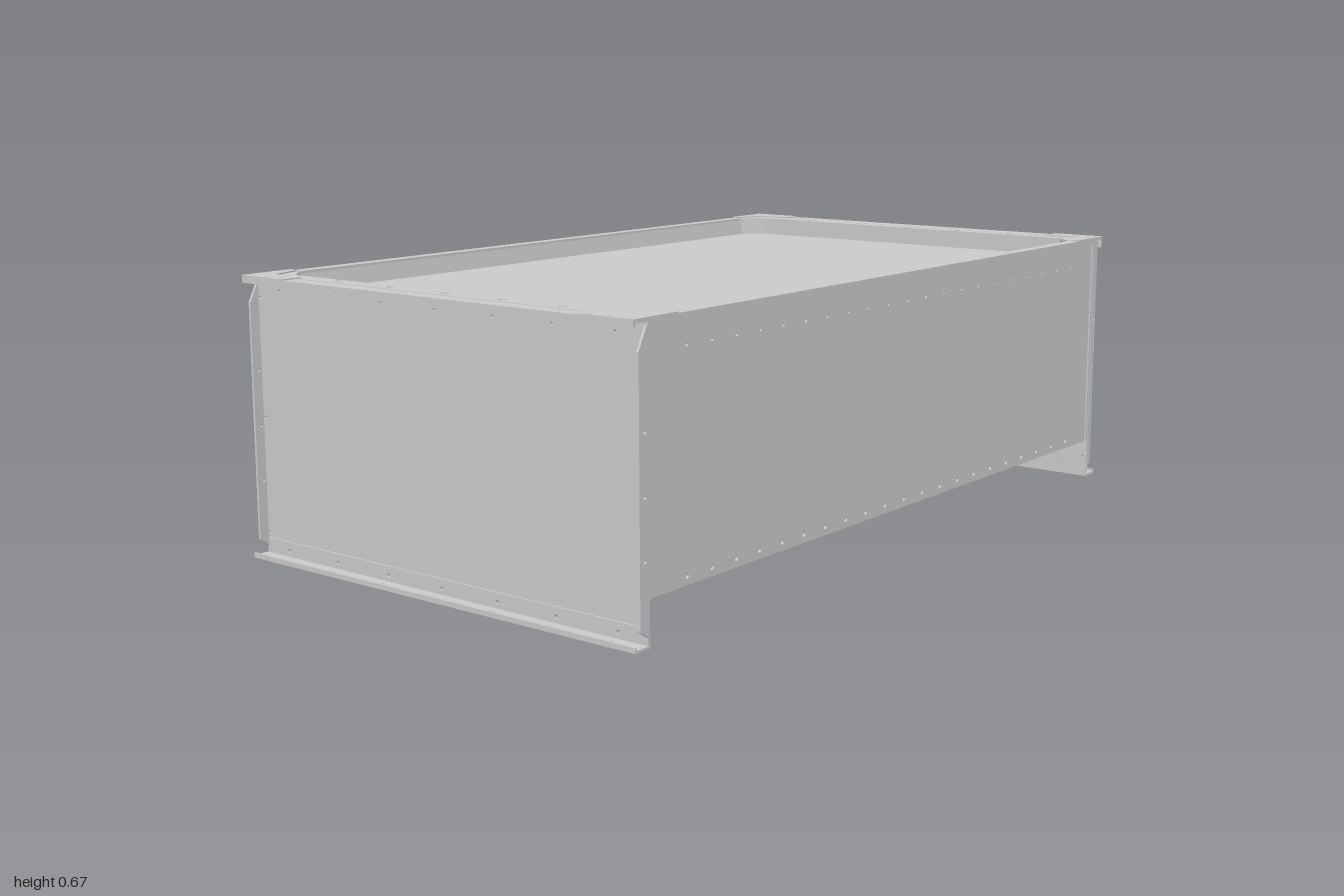
import * as THREE from 'three';

const T = 0.006; // sheet thickness
const material = new THREE.MeshStandardMaterial({ color: 0xcccccc, flatShading: true, side: THREE.DoubleSide });

// Flat sheet from an outline, with round holes [x, y, r] and polygon cut-outs
function sheet(points, holes = [], cuts = [], depth = T) {
  const shape = new THREE.Shape(points.map(([x, y]) => new THREE.Vector2(x, y)));
  for (const [x, y, r] of holes) {
    const path = new THREE.Path();
    path.absarc(x, y, r, 0, Math.PI * 2, true);
    shape.holes.push(path);
  }
  for (const cut of cuts) shape.holes.push(new THREE.Path(cut.map(([x, y]) => new THREE.Vector2(x, y))));
  return new THREE.ExtrudeGeometry(shape, { depth, bevelEnabled: false, curveSegments: 5 });
}

const rect = (x0, y0, x1, y1) => [[x0, y0], [x1, y0], [x1, y1], [x0, y1]];
const rowOf = (n, step) => Array.from({ length: n }, (_, i) => (i - (n - 1) / 2) * step);

export function createModel() {
  const model = new THREE.Group();

  const add = (name, geometry) => {
    const mesh = new THREE.Mesh(geometry, material);
    mesh.name = name;
    model.add(mesh);
    return mesh;
  };
  const box = (name, x0, x1, y0, y1, z0, z1) =>
    add(name, new THREE.BoxGeometry(Math.abs(x1 - x0), y1 - y0, Math.abs(z1 - z0))
      .translate((x0 + x1) / 2, (y0 + y1) / 2, (z0 + z1) / 2));
  // Sheet lying flat, outline in x and z, its upper face at y
  const flat = (name, y, points, holes, cuts, depth) =>
    add(name, sheet(points, holes, cuts, depth).rotateX(Math.PI / 2).translate(0, y, 0));
  // Upright sheet centred at x, outline in z and y
  const upright = (name, x, points, holes = []) =>
    add(name, sheet(points.map(([z, y]) => [-z, y]), holes.map(([z, y, r]) => [-z, y, r]))
      .rotateY(Math.PI / 2).translate(x - T / 2, 0, 0));

  // Rim: one frame with chamfered inner corners, bolt holes and long slots
  const inner = [];
  for (const [sx, sz] of [[1, 1], [-1, 1], [-1, -1], [1, -1]]) {
    const corner = [[0.55 * sx, 0.86 * sz], [0.5 * sx, 0.91 * sz]];
    inner.push(...(sx * sz > 0 ? corner : corner.reverse()));
  }
  const boltHoles = [];
  const slots = [];
  for (const s of [-1, 1]) {
    for (const x of rowOf(5, 0.167)) boltHoles.push([x, 0.927 * s, 0.01]);
    slots.push(rect(-0.45, 0.957 * s - 0.003, 0.45, 0.957 * s + 0.003));
    for (const x of [-0.44, 0.44]) boltHoles.push([x, 0.98 * s, 0.005]);
    for (const x of [-0.57, 0.57]) boltHoles.push([x, 0.865 * s, 0.005]);
  }
  flat('topRim', 0.662, rect(-0.58, -1, 0.58, 1), boltHoles, [inner, ...slots]);

  // Recessed panel
  box('recessedPanel', -0.572, 0.572, 0.609, 0.615, -0.955, 0.955);

  // Long side walls, the right one stopping short of the base
  for (const s of [-1, 1]) {
    const bottom = s > 0 ? 0.1 : 0;
    const holes = rowOf(21, 0.083).flatMap(z => [[z, 0.12, 0.006], [z, 0.595, 0.004]]);
    if (s < 0) for (const z of [-0.86, -0.81, -0.02, 0.02, 0.81, 0.86]) holes.push([z, 0.06, 0.005]);
    upright('sideWall', s * 0.572, rect(-0.955, bottom, 0.955, 0.658), holes);
    box('sideBottomFlange', s * 0.575, s * 0.55, bottom, bottom + T, -0.95, 0.95);
    box('sideTopLip', s * 0.574, s * 0.58, 0.645, 0.66, -0.955, 0.955);
    // Leaning lip between rim and recessed panel
    const lip = sheet([[0.556, 0.66], [0.551, 0.66], [0.543, 0.613], [0.548, 0.613]]
      .map(([x, y]) => [x * s, y]), [], [], 1.82).translate(0, 0, -0.91);
    add('recessSideLip', lip);
    for (const z of [-0.95, 0.95]) box('wallEndFold', s * 0.572, s * 0.579, bottom, 0.655, z - 0.004, z + 0.004);
  }

  // End walls with their flanges and lips
  for (const s of [-1, 1]) {
    const holes = rowOf(7, 0.167).flatMap(x => [[x, 0.63, 0.004], [x, 0.02, 0.005]]);
    for (const x of [-0.568, 0.568]) for (const y of [0.055, 0.33, 0.61]) holes.push([x, y, 0.004]);
    add('endWall', sheet(rect(-0.578, 0, 0.578, 0.658), holes).translate(0, 0, s * 0.957 - T / 2));
    flat('endBottomFlange', T, rect(-0.58, s * 0.955, 0.58, s), rowOf(7, 0.167).map(x => [x, 0.982 * s, 0.005]));
    box('endBottomLip', -0.58, 0.58, 0, 0.012, s, s * 0.996);
    box('endTopLip', -0.58, 0.58, s > 0 ? 0.647 : 0.635, 0.66, s, s * 0.995);
    box('recessEndLip', -0.5, 0.5, 0.612, 0.66, s * 0.91, s * 0.915);
    box('endWallCrease', -0.57, 0.57, 0.038, 0.043, s * 0.958, s * 0.964);

    for (const side of [-1, 1]) {
      // Upright flange on each end of the end wall, with chamfered top at the front
      const z = s > 0 ? 0.985 : 0.975;
      const outline = [[0.955, 0.02], [z, 0.04], [z, s > 0 ? 0.6 : 0.655], [0.955, 0.658]];
      upright('endWallFlange', side * 0.577, outline.map(([a, y]) => [a * s, y]),
        [0.18, 0.31, 0.44].map(y => [0.968 * s, y, 0.004]));

      // Slanted wall of the recess across its corner
      const fold = new THREE.BoxGeometry(0.071, 0.047, 0.004);
      fold.rotateY(side * s * Math.PI / 4).translate(side * 0.525, 0.636, s * 0.885);
      add('recessCornerLip', fold);

      // Raised corner plate on the rim
      flat('cornerPlate', 0.665, [[0.58, 1], [0.44, 1], [0.44, 0.945], [0.53, 0.945], [0.556, 0.86], [0.58, 0.86]]
        .map(([x, zz]) => [x * side, zz * s]),
        [[0.46, 0.985], [0.51, 0.985], [0.565, 0.985], [0.565, 0.94]].map(([x, zz]) => [x * side, zz * s, 0.005]), [], 0.003);
    }
  }
  return model;
}
